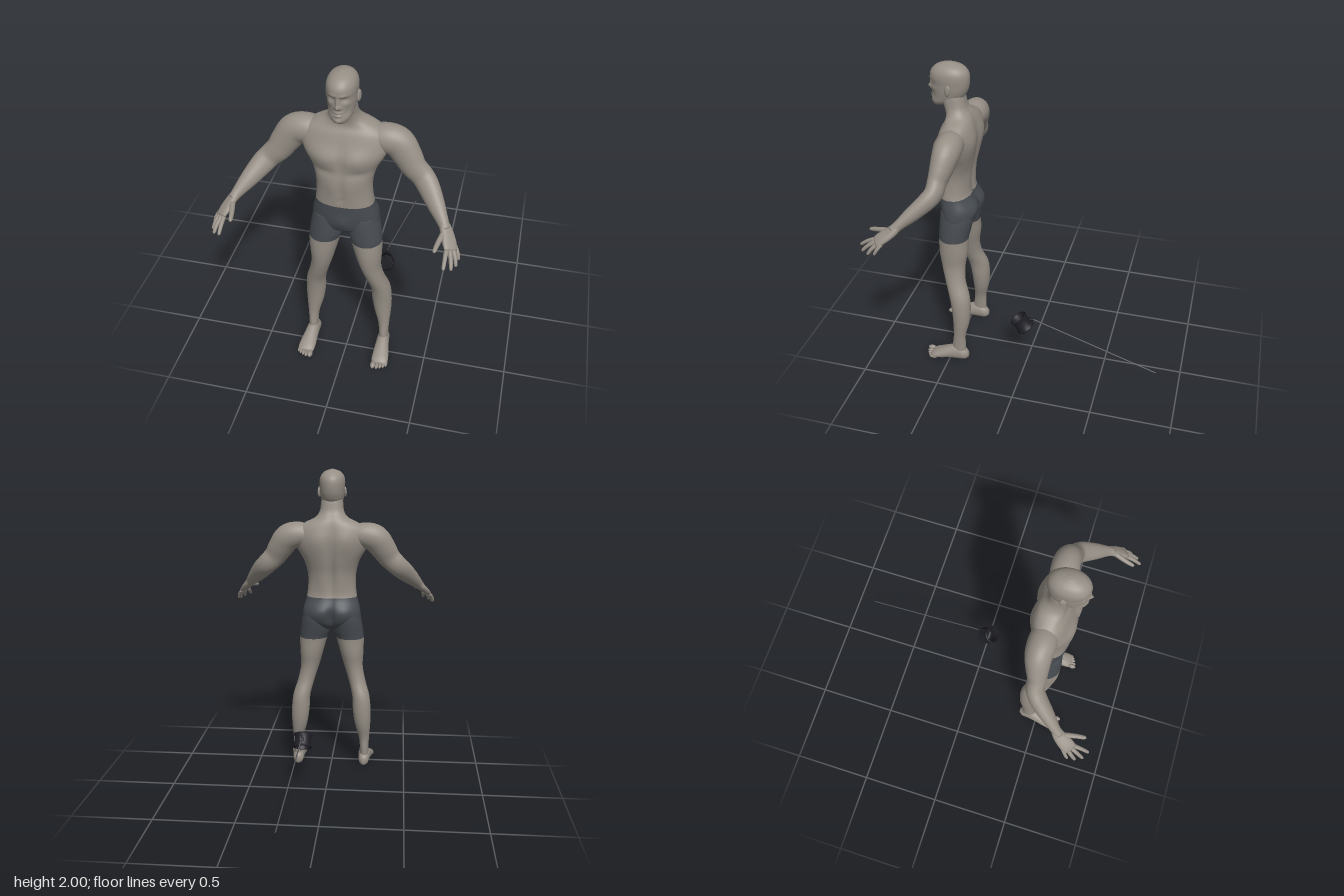
import * as THREE from 'three';

const skin = new THREE.MeshStandardMaterial({ name: 'skin', color: 0x968f86 });
const cloth = new THREE.MeshStandardMaterial({ name: 'shortsCloth', color: 0x474c51 });
const darkMetal = new THREE.MeshStandardMaterial({ name: 'darkMetal', color: 0x1f1f26 });
const steel = new THREE.MeshStandardMaterial({ name: 'steel', color: 0x55555a });

// Catmull-Rom value between b and c
const spline = (a, b, c, d, t) =>
  b + 0.5 * t * (c - a + t * (2 * a - 5 * b + 4 * c - d + t * (3 * (b - c) + d - a)));

// Loft elliptical rings through rows of [x, y, z, half-width u, half-width v].
// v lies along ref; axis fixes the ring direction, otherwise rings follow the path.
function loft(name, rows, o = {}) {
  const { seg = 24, sub = 4, power = 2, ref = [0, 0, 1], axis, bumps = [], paint, floor } = o;
  const rings = [];
  for (let i = 0; i < rows.length - 1; i++) {
    const at = k => rows[Math.min(Math.max(k, 0), rows.length - 1)];
    for (let s = 0; s < sub + (i === rows.length - 2 ? 1 : 0); s++)
      rings.push(rows[i].map((_, k) => spline(at(i - 1)[k], at(i)[k], at(i + 1)[k], at(i + 2)[k], s / sub)));
  }
  const flat = r => [r[0], r[1], r[2], 0, 0];
  rings.unshift(flat(rings[0]));
  rings.push(flat(rings[rings.length - 1]));
  const n = rings.length, pos = [], index = [];
  const P = i => new THREE.Vector3(...rings[Math.min(Math.max(i, 1), n - 2)]);
  const round = v => Math.sign(v) * Math.pow(Math.abs(v), 2 / power);
  rings.forEach((r, i) => {
    const T = axis ? new THREE.Vector3(...axis) : P(i + 1).sub(P(i - 1)).normalize();
    const V = new THREE.Vector3(...ref);
    V.addScaledVector(T, -V.dot(T)).normalize();
    const U = V.clone().cross(T);
    for (let j = 0; j < seg; j++) {
      const a = (j / seg) * Math.PI * 2;
      const p = new THREE.Vector3(r[0], r[1], r[2])
        .addScaledVector(U, r[3] * round(Math.cos(a))).addScaledVector(V, r[4] * round(Math.sin(a)));
      // mirrored swellings and hollows: [x, y, radius x, radius y, depth, front or back]
      if (r[4] > 0) for (const [bx, by, rx, ry, d, side] of bumps) {
        const w = Math.min(1, Math.max(0, Math.sin(a) * side * 2));
        p.z += side * d * w * Math.exp(-(((Math.abs(p.x) - bx) / rx) ** 2) - ((p.y - by) / ry) ** 2);
      }
      if (floor !== undefined) p.y = Math.max(floor, p.y);
      pos.push(p.x, p.y, p.z);
    }
  });
  const geo = new THREE.BufferGeometry();
  for (let i = 0; i < n - 1; i++) {
    if (paint) geo.addGroup(index.length, seg * 6, paint((rings[i][1] + rings[i + 1][1]) / 2));
    for (let j = 0; j < seg; j++) {
      const k = (j + 1) % seg, a = i * seg + j, b = i * seg + k, c = b + seg, d = a + seg;
      index.push(a, b, c, a, c, d);
    }
  }
  geo.setAttribute('position', new THREE.Float32BufferAttribute(pos, 3));
  geo.setIndex(index);
  geo.computeVertexNormals();
  const mesh = new THREE.Mesh(geo, paint ? [skin, cloth] : skin);
  mesh.name = name;
  return mesh;
}

function ellipsoid(name, p, r) {
  const m = new THREE.Mesh(new THREE.SphereGeometry(1, 20, 14), skin);
  m.name = name;
  m.position.set(...p);
  m.scale.set(...r);
  return m;
}

function torso() {
  const rows = [
    [.965, .10, .455, .05], [.99, .165, .455, .085], [1.03, .192, .45, .104], [1.1, .187, .449, .114],
    [1.18, .166, .468, .1], [1.26, .157, .472, .1], [1.34, .16, .47, .108], [1.42, .182, .458, .116],
    [1.5, .225, .45, .12], [1.57, .245, .437, .11], [1.63, .225, .43, .095], [1.67, .165, .425, .08],
    [1.70, .105, .432, .073], [1.74, .078, .45, .067], [1.80, .07, .468, .072], [1.85, .06, .47, .06],
  ].map(([y, w, z, d]) => [0, y, z, w, d]);
  const bumps = [
    [.09, 1.5, .07, .055, .014, 1], [.09, 1.41, .06, .02, -.008, 1], [0, 1.48, .015, .1, -.009, 1],
    [0, 1.3, .012, .08, -.006, 1], [0, 1.23, .009, .01, -.008, 1], [.05, 1.3, .03, .07, .004, 1],
    [0, 1.06, .045, .05, .012, 1],
    [0, 1.4, .022, .22, -.018, -1], [.09, 1.55, .06, .09, .012, -1], [.06, 1.28, .035, .09, .006, -1],
    [.09, 1.07, .06, .06, .014, -1], [0, 1.05, .018, .07, -.03, -1],
  ];
  return loft('torso', rows, { seg: 72, sub: 5, power: 2.3, axis: [0, 1, 0], bumps, paint: y => (y < 1.18 ? 1 : 0) });
}

function head() {
  const g = new THREE.Group();
  g.name = 'head';
  const rows = [
    [1.737, .022, .56, .015], [1.748, .042, .548, .037], [1.77, .06, .522, .07], [1.80, .07, .495, .095],
    [1.84, .077, .482, .106], [1.88, .08, .478, .112], [1.92, .082, .48, .116], [1.95, .077, .48, .108],
    [1.975, .062, .48, .085], [1.99, .04, .48, .055], [2, .012, .48, .016],
  ].map(([y, w, z, d]) => [0, y, z, w, d]);
  const bumps = [
    [0, 1.845, .011, .014, .026, 1], [0, 1.872, .009, .02, .014, 1], [.014, 1.838, .008, .008, .009, 1],
    [.032, 1.885, .016, .011, -.013, 1], [.032, 1.884, .01, .005, .006, 1], [.03, 1.907, .024, .007, .006, 1],
    [0, 1.808, .022, .005, .009, 1], [0, 1.793, .02, .006, .009, 1], [0, 1.8, .024, .003, -.007, 1],
    [0, 1.758, .022, .013, .009, 1], [.05, 1.855, .018, .014, .006, 1], [.045, 1.81, .015, .02, -.005, 1],
  ];
  g.add(loft('skullAndFace', rows, { seg: 112, sub: 6, power: 2.1, axis: [0, 1, 0], bumps }));
  for (const s of [1, -1]) {
    const ear = ellipsoid('ear', [s * .083, 1.857, .472], [.009, .034, .02]);
    ear.rotation.set(-.15, s * -.35, 0);
    g.add(ear);
  }
  return g;
}

function leg(s) {
  const g = new THREE.Group();
  g.name = s > 0 ? 'leftLeg' : 'rightLeg';
  const flip = rows => rows.map(([x, ...r]) => [s * x, ...r]);
  g.add(loft('thighAndCalf', flip([
    [.1, 1.08, .447, .085, .1], [.104, 1.02, .452, .094, .103], [.112, .95, .462, .097, .098],
    [.122, .9, .468, .092, .093], [.135, .8, .47, .078, .09], [.147, .7, .471, .062, .075],
    [.172, .6, .456, .056, .065], [.2, .5, .426, .058, .066], [.208, .4, .416, .06, .061],
    [.215, .3, .418, .052, .053], [.225, .2, .43, .035, .04], [.227, .12, .436, .029, .044],
    [.228, .05, .44, .028, .045],
  ]), { seg: 36, axis: [0, -1, 0], paint: y => (y > .9 ? 1 : 0) }));
  g.add(loft('foot', flip([
    [.225, .038, .376, .014, .02], [.225, .042, .4, .033, .042], [.227, .05, .45, .038, .057],
    [.23, .045, .5, .043, .048], [.234, .03, .56, .05, .036], [.236, .022, .6, .051, .025],
    [.235, .016, .625, .043, .014],
  ]), { ref: [0, 1, 0], axis: [0, 0, 1], floor: .004 }));
  // big toe on the inner side
  [[.202, .64, .018], [.226, .637, .012], [.246, .629, .0115], [.264, .619, .011], [.279, .607, .01]]
    .forEach(([x, z, r]) => g.add(ellipsoid('toe', [s * x, r + .001, z], [r * .9, r, .027])));
  return g;
}

function arm(s) {
  const g = new THREE.Group();
  g.name = s > 0 ? 'leftArm' : 'rightArm';
  const flip = rows => rows.map(([x, ...r]) => [s * x, ...r]);
  g.add(loft('shoulderAndArm', flip([
    [.15, 1.585, .425, .07, .07], [.22, 1.587, .425, .083, .08], [.285, 1.565, .425, .088, .077],
    [.335, 1.5, .437, .081, .066], [.375, 1.44, .45, .072, .055], [.425, 1.39, .457, .066, .052],
    [.465, 1.35, .49, .063, .05], [.52, 1.29, .56, .05, .042], [.565, 1.24, .62, .034, .03],
    [.59, 1.21, .655, .026, .03],
  ]), { seg: 32, sub: 5 }));
  g.add(loft('palm', flip([
    [.572, 1.235, .628, .024, .028], [.595, 1.205, .66, .022, .037], [.62, 1.17, .71, .018, .043],
    [.632, 1.148, .742, .012, .038],
  ]), { ref: [s * -.5, 0, .86], power: 2.4 }));
  // base, middle joint and tip of each finger
  const digits = {
    thumb: [[.583, 1.207, .675], [.564, 1.19, .745], [.552, 1.176, .808]],
    indexFinger: [[.611, 1.155, .752], [.611, 1.132, .802], [.611, 1.1, .848]],
    middleFinger: [[.627, 1.15, .742], [.641, 1.122, .787], [.65, 1.085, .825]],
    ringFinger: [[.64, 1.148, .722], [.66, 1.117, .757], [.67, 1.08, .785]],
    littleFinger: [[.65, 1.15, .7], [.669, 1.122, .722], [.678, 1.09, .74]],
  };
  for (const [name, pts] of Object.entries(digits)) {
    const r = name === 'thumb' ? .014 : name === 'littleFinger' ? .01 : .0115;
    const [a, b, c] = pts;
    const nearTip = c.map((v, k) => v + (b[k] - v) * .2);
    g.add(loft(name, flip([[...a, r * 1.15, r * 1.15], [...b, r, r], [...nearTip, r * .8, r * .8], [...c, r * .3, r * .3]]),
      { seg: 12, ref: [s, 0, 0] }));
  }
  return g;
}

function shackle() {
  const g = new THREE.Group();
  g.name = 'shackle';
  const cuff = new THREE.Group();
  cuff.name = 'cuff';
  // flared band with a waist
  const profile = [[.049, -.044], [.059, -.044], [.059, -.037], [.053, -.028], [.051, 0], [.053, .028], [.059, .037],
    [.059, .044], [.049, .044], [.047, 0], [.049, -.044]].map(p => new THREE.Vector2(...p));
  const band = new THREE.Mesh(new THREE.LatheGeometry(profile, 40), darkMetal);
  band.name = 'cuffBand';
  const lug = new THREE.Mesh(new THREE.BoxGeometry(.022, .024, .014), darkMetal);
  lug.name = 'cuffLug';
  lug.position.z = -.056;
  cuff.add(band, lug);
  cuff.position.set(.15, .322, .027);
  cuff.rotation.x = .64;
  const link = new THREE.Mesh(new THREE.TorusGeometry(.013, .0035, 8, 24), darkMetal);
  link.name = 'linkRing';
  link.position.set(.15, .371, -.035);
  link.rotation.y = Math.PI / 2;
  const a = new THREE.Vector3(.15, .366, -.044), b = new THREE.Vector3(.202, .144, -.856);
  const cord = new THREE.Mesh(new THREE.CylinderGeometry(.004, .004, a.distanceTo(b), 8), steel);
  cord.name = 'tether';
  cord.position.copy(a).lerp(b, .5);
  cord.quaternion.setFromUnitVectors(new THREE.Vector3(0, 1, 0), b.clone().sub(a).normalize());
  g.add(cuff, link, cord);
  return g;
}

export function createModel() {
  const model = new THREE.Group();
  model.name = 'standingManAndShackle';
  model.add(torso(), head(), shackle());
  for (const s of [1, -1]) model.add(arm(s), leg(s));
  return model;
}
